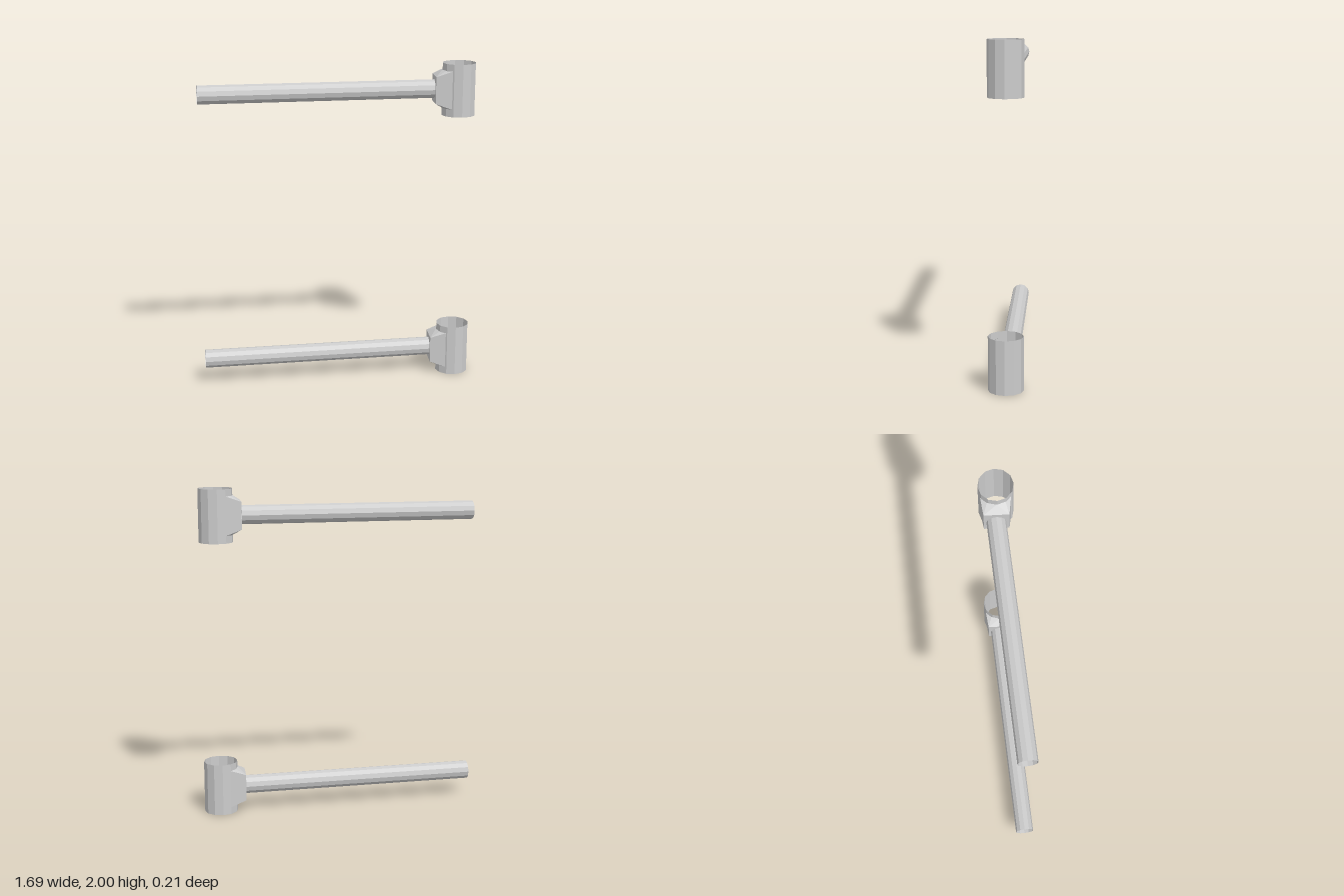
import * as THREE from 'three';

const material = new THREE.MeshStandardMaterial({
  color: 0xcccccc, flatShading: true, side: THREE.DoubleSide,
});

const COLLAR = { x: 0.741, radius: 0.103, height: 0.32 };
const ROD_Y = 0.162;

// Flared gusset: flat outer end, concave inner edge hugging the collar
function gussetGeometry() {
  // plan outline [x, z]: outer back corner, collar arc back to front, outer front corner
  const plan = [
    [0.595, -0.086], [0.69, -0.094], [0.655, -0.06], [0.637, -0.006],
    [0.65, 0.046], [0.683, 0.082], [0.586, 0.061],
  ];
  const rise = (i) => (i === 0 || i === 6 ? 0.082 : 0.116); // taller at the collar
  const corner = (i, side) => [plan[i][0], ROD_Y + side * rise(i), plan[i][1]];
  const positions = [];
  const tri = (a, b, c) => positions.push(...a, ...b, ...c);

  // sloping top and bottom
  for (const [a, b, c] of [[0, 1, 2], [0, 2, 3], [0, 3, 6], [6, 3, 4], [6, 4, 5]]) {
    tri(corner(a, 1), corner(c, 1), corner(b, 1));
    tri(corner(a, -1), corner(b, -1), corner(c, -1));
  }
  // back cheek, front cheek and outer end
  for (const [a, b] of [[0, 1], [5, 6], [6, 0]]) {
    tri(corner(a, 1), corner(b, 1), corner(b, -1));
    tri(corner(a, 1), corner(b, -1), corner(a, -1));
  }
  const geometry = new THREE.BufferGeometry();
  geometry.setAttribute('position', new THREE.Float32BufferAttribute(positions, 3));
  geometry.computeVertexNormals();
  return geometry;
}

// One clamp: open collar, gusset and hollow rod
function createArm(name, y) {
  const arm = new THREE.Group();
  arm.name = name;
  arm.position.y = y;
  const add = (part, geometry) => {
    const mesh = new THREE.Mesh(geometry, material);
    mesh.name = part;
    arm.add(mesh);
    return mesh;
  };

  // 12-sided sleeve with a vertex facing the rod
  const { x, radius, height } = COLLAR;
  add('collar', new THREE.CylinderGeometry(radius, radius, height, 12, 1, true, Math.PI / 2))
    .position.set(x, height / 2, 0);

  add('gusset', gussetGeometry());

  // rod, very slightly skewed in plan
  const start = -0.847, end = 0.591;
  const rod = add('rod', new THREE.CylinderGeometry(0.057, 0.057, end - start, 12, 1, true)
    .rotateZ(Math.PI / 2));
  rod.position.set((start + end) / 2, ROD_Y, -0.0115);
  rod.rotation.y = 0.0035;
  return arm;
}

export function createModel() {
  const model = new THREE.Group();
  model.name = 'collarArms';
  model.add(createArm('lowerArm', 0), createArm('upperArm', 1.68));
  return model;
}
